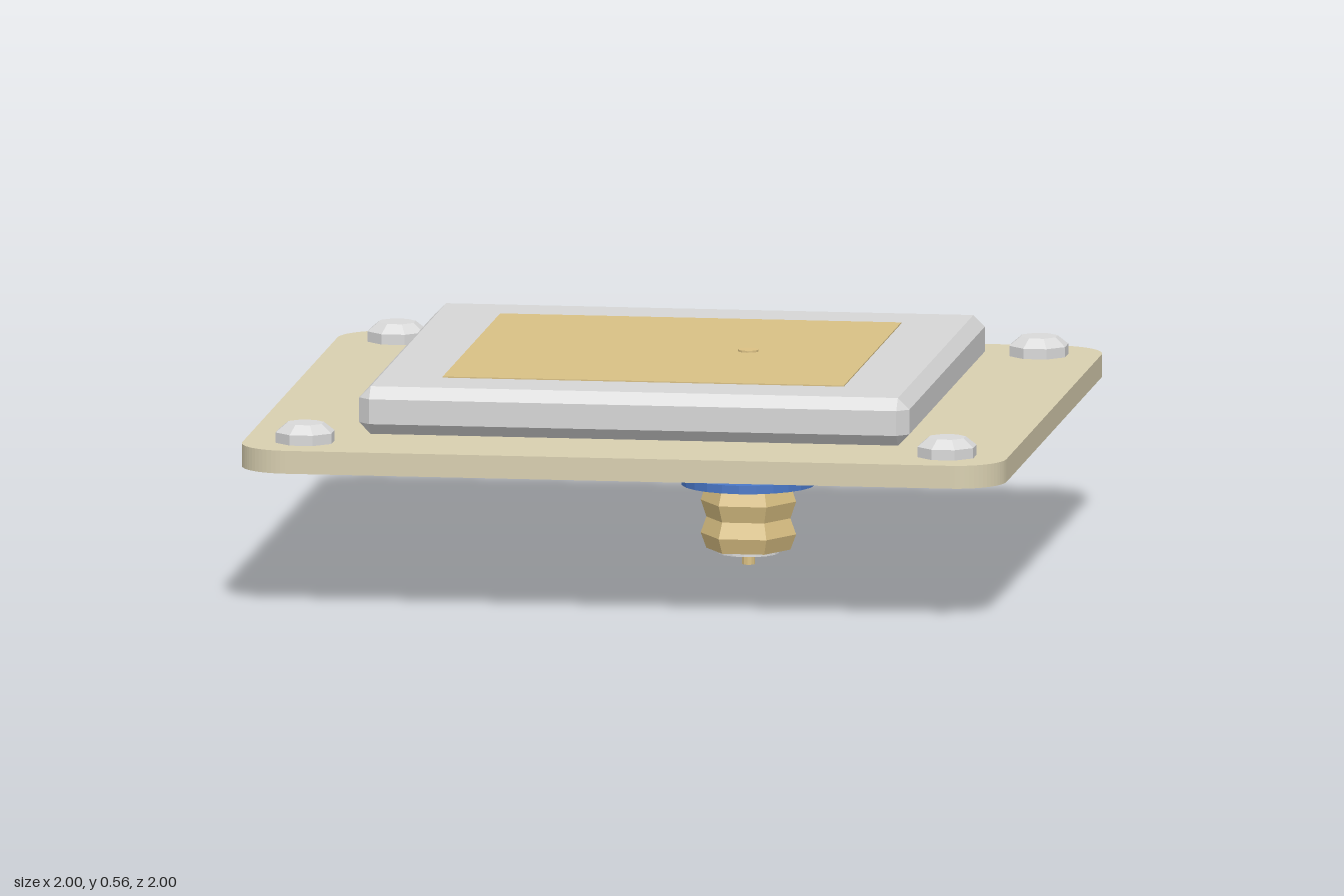
import * as THREE from 'three';
import { ConvexGeometry } from 'three/addons/geometries/ConvexGeometry.js';

const material = (name, color, flatShading = true) => {
  const m = new THREE.MeshStandardMaterial({ color, flatShading });
  m.name = name;
  return m;
};

export function createModel() {
  const model = new THREE.Group();
  model.name = 'patchAntenna';
  const board = material('boardBeige', 0xd8cfb0);
  const ceramic = material('ceramicGrey', 0xd6d6d6);
  const patchGold = material('patchGold', 0xd8c085);
  const brass = material('connectorBrass', 0xdbc184);
  const steel = material('screwSteel', 0xd9d9d9);
  const blue = material('washerBlue', 0x4a78c8);
  const white = material('insulatorWhite', 0xdcdcdc);

  const add = (name, geometry, mat, x = 0, y = 0, z = 0, parent = model) => {
    const mesh = new THREE.Mesh(geometry, mat);
    mesh.name = name;
    mesh.position.set(x, y, z);
    parent.add(mesh);
    return mesh;
  };
  // Faceted turned part; phase turns its first corner away from +z
  const turned = (points, sides, phase = 0) =>
    new THREE.LatheGeometry(points.map(([r, y]) => new THREE.Vector2(r, y)), sides, phase);

  // Base board with rounded corners and four screw holes
  const r = 0.13, screwAt = 0.84;
  const outline = new THREE.Shape();
  outline.absarc(1 - r, 1 - r, r, 0, Math.PI / 2);
  outline.absarc(-1 + r, 1 - r, r, Math.PI / 2, Math.PI);
  outline.absarc(-1 + r, -1 + r, r, Math.PI, Math.PI * 1.5);
  outline.absarc(1 - r, -1 + r, r, Math.PI * 1.5, Math.PI * 2);
  const corners = [[1, 1], [-1, 1], [-1, -1], [1, -1]];
  for (const [sx, sz] of corners) {
    const hole = new THREE.Path();
    hole.absarc(sx * screwAt, sz * screwAt, 0.038, 0, Math.PI * 2, true);
    outline.holes.push(hole);
  }
  const boardGeometry = new THREE.ExtrudeGeometry(outline, { depth: 0.06, bevelEnabled: false, curveSegments: 8 });
  boardGeometry.rotateX(-Math.PI / 2);
  add('baseBoard', boardGeometry, board, 0, 0.37, 0);

  // Ceramic block with chamfered edges
  const w = 0.72, h = 0.0625, c = 0.03, points = [];
  for (const sx of [-1, 1]) for (const sy of [-1, 1]) for (const sz of [-1, 1]) {
    points.push(
      new THREE.Vector3(sx * w, sy * (h - c), sz * (w - c)),
      new THREE.Vector3(sx * (w - c), sy * h, sz * (w - c)),
      new THREE.Vector3(sx * (w - c), sy * (h - c), sz * w));
  }
  add('ceramicBlock', new ConvexGeometry(points), ceramic, 0, 0.4925, 0);

  // Metal patch and its feed point
  add('patch', new THREE.BoxGeometry(1.05, 0.005, 1.05), patchGold, 0, 0.5555, 0);
  add('feedPoint', new THREE.CylinderGeometry(0.027, 0.027, 0.01, 12), brass, 0.2, 0.558, 0);

  // Corner screws: octagonal heads with a sloped rim
  const head = turned([[0, 0], [0.079, 0], [0.079, 0.027], [0.05, 0.05], [0, 0.05]], 8, Math.PI / 8);
  for (const [sx, sz] of corners) add('screw', head, steel, sx * screwAt, 0.43, sz * screwAt);

  // Coaxial connector below the board
  const connector = new THREE.Group();
  connector.name = 'connector';
  connector.position.x = 0.2;
  model.add(connector);
  const part = (name, geometry, mat, y = 0) => add(name, geometry, mat, 0, y, 0, connector);
  const hex = Math.PI / 6;

  part('collar', turned([[0.1, 0.31], [0.11, 0.32], [0.124, 0.335], [0.124, 0.355], [0.112, 0.372]], 16), brass);
  part('hexNut', turned([[0, 0.26], [0.182, 0.26], [0.182, 0.32], [0, 0.32]], 6, hex), brass);
  part('washer', new THREE.CylinderGeometry(0.174, 0.174, 0.022, 24), blue, 0.221);
  part('ribbedBody', turned([
    [0, 0.04], [0.11, 0.04], [0.125, 0.08], [0.11, 0.122], [0.125, 0.166],
    [0.11, 0.21], [0.125, 0.25], [0.12, 0.27],
  ], 6, hex), brass);
  part('insulator', new THREE.CylinderGeometry(0.08, 0.08, 0.02, 16), white, 0.04);
  part('centrePin', new THREE.CylinderGeometry(0.017, 0.017, 0.05, 10), brass, 0.025);

  return model;
}
